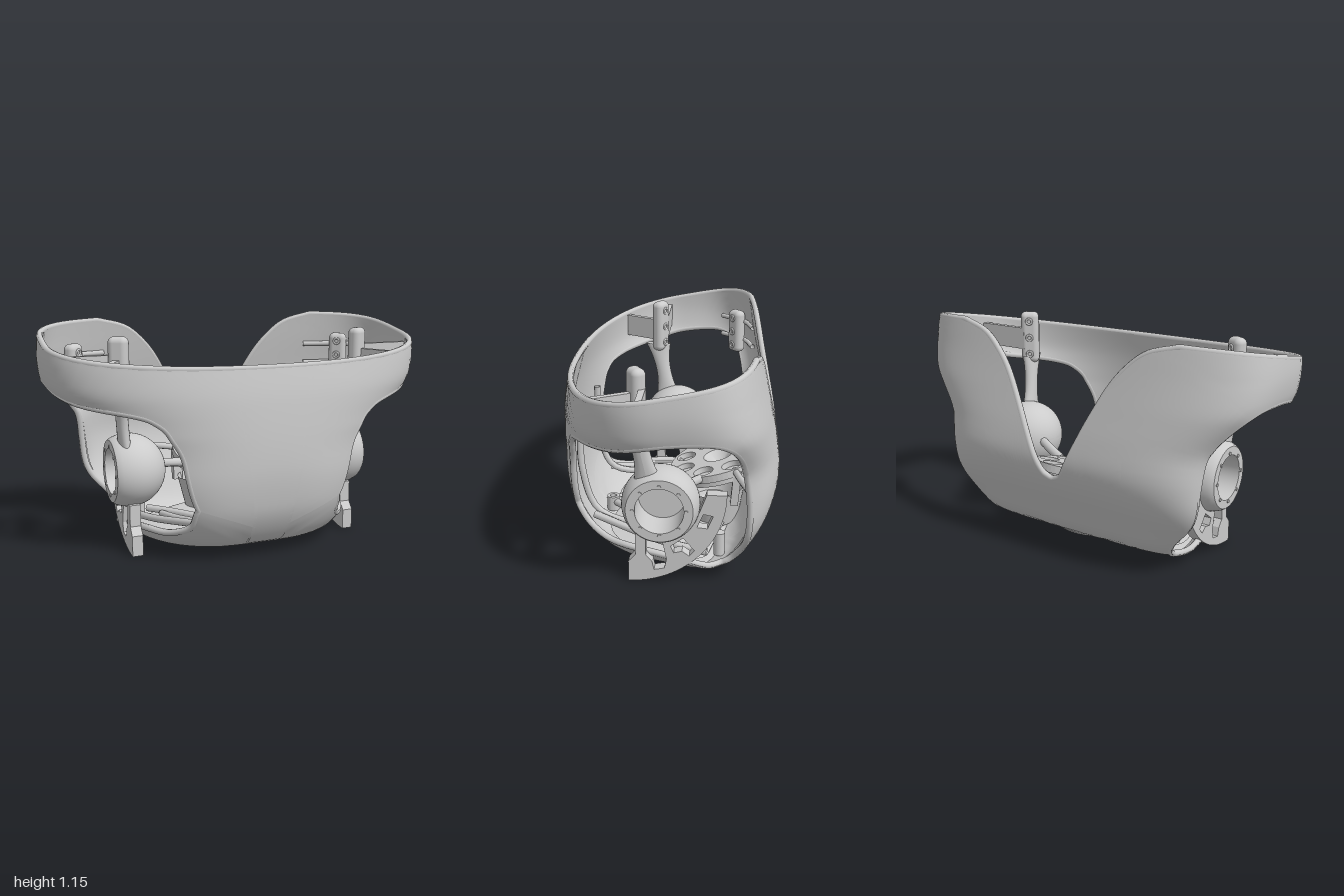
import * as THREE from 'three';
import { toCreasedNormals } from 'three/addons/utils/BufferGeometryUtils.js';
import { RoundedBoxGeometry } from 'three/addons/geometries/RoundedBoxGeometry.js';

const V = (x, y, z) => new THREE.Vector3(x, y, z);
const mat = new THREE.MeshStandardMaterial({ color: 0xcccccc, side: THREE.DoubleSide });
const WALL = 0.03;

// smooth function through [key, value] points
function table(p) {
  const slope = i => {
    const a = p[Math.max(i - 1, 0)], b = p[Math.min(i + 1, p.length - 1)];
    return (b[1] - a[1]) / (b[0] - a[0]);
  };
  return t => {
    if (t <= p[0][0]) return p[0][1];
    if (t >= p[p.length - 1][0]) return p[p.length - 1][1];
    const i = p.findIndex(q => q[0] > t) - 1, h = p[i + 1][0] - p[i][0], s = (t - p[i][0]) / h;
    const e = s * s * (3 - 2 * s);
    return p[i][1] * (1 - e) + p[i + 1][1] * e
      + h * s * (1 - s) * ((1 - s) * slope(i) - s * slope(i + 1));
  };
}

// horizontal sections of the shell by height: half width, narrowing to the front, depths, squareness
const halfWidth = table([[.045, .52], [.1, .575], [.2, .64], [.3, .69], [.5, .76], [.6, .8], [.7, .86], [.78, .925], [.84, .97], [.9, .99], [1, 1], [1.15, .99]]);
const taper = table([[.1, .5], [.3, .42], [.5, .18], [.65, 0]]);
const frontDepth = table([[.045, .31], [.065, .365], [.1, .415], [.2, .483], [.3, .52], [.5, .545], [.8, .53], [1, .495], [1.15, .46]]);
const backDepth = table([[.045, .25], [.1, .36], [.25, .45], [.4, .52], [.52, .548], [.65, .535], [.8, .505], [.95, .475], [1.15, .44]]);
const frontPower = table([[.05, 2.8], [.15, 3.2], [.3, 3.2], [.55, 2.4], [.8, 2.3], [1, 2.35]]);
const backPower = table([[.05, 5], [.3, 4.8], [.5, 4.3], [.75, 4.3], [1, 3.9]]);
const notch = table([[0, .43], [.06, .46], [.13, .59], [.2, .73], [.3, .91], [.38, 1.01], [.48, 1.09], [.62, 1.13], [.9, 1.2]]);

function section(al, y, d = 0) {
  const c = Math.cos(al), s = Math.sin(al), n = s > 0 ? frontPower(y) : backPower(y);
  const r = (Math.abs(c) ** n + Math.abs(s) ** n) ** (-1 / n);
  const z = ((s > 0 ? frontDepth(y) : backDepth(y)) - d) * r * s;
  return V((halfWidth(y) - d) * r * c * (1 - taper(y) * z), y, z);
}
const bottomAt = al => .048 + .025 * Math.max(0, Math.cos(Math.asin(Math.sin(al)) - .4)) ** 2;
function topAt(al) {
  let y = 1;
  for (let i = 0; i < 24; i++) {
    const p = section(al, y), rim = Math.min(1.058 - .182 * p.z, 1.138);
    y = .5 * y + .5 * (p.z < 0 ? Math.min(rim, notch(Math.abs(p.x))) : rim);
  }
  return y;
}
const shellPoint = (al, v, d) => section(al, bottomAt(al) + v * (topAt(al) - bottomAt(al)), d);

// grid surface from a point function
function sheet(fn, nu, nv) {
  const pos = [], idx = [];
  for (let j = 0; j <= nv; j++) for (let i = 0; i <= nu; i++) pos.push(...fn(i / nu, j / nv).toArray());
  for (let j = 0; j < nv; j++) for (let i = 0; i < nu; i++) {
    const a = j * (nu + 1) + i, b = a + nu + 1;
    idx.push(a, a + 1, b, b, a + 1, b + 1);
  }
  const g = new THREE.BufferGeometry();
  g.setAttribute('position', new THREE.Float32BufferAttribute(pos, 3));
  g.setIndex(idx);
  g.computeVertexNormals();
  return g;
}

export function createModel() {
  const model = new THREE.Group();
  const add = (name, geo, parent = model) => {
    const m = new THREE.Mesh(geo, mat);
    m.name = name;
    parent.add(m);
    return m;
  };
  const rod = (name, pts, r, parent, closed = false, n = 24) =>
    add(name, new THREE.TubeGeometry(new THREE.CatmullRomCurve3(pts, closed), n, r, 8, closed), parent);
  const beam = (name, a, b, w, h, parent) => {
    const m = add(name, new THREE.BoxGeometry(w, h, a.distanceTo(b)), parent);
    m.position.copy(a).lerp(b, .5);
    m.lookAt(b);
    return m;
  };
  const shell = new THREE.Group();
  shell.name = 'shell';
  model.add(shell);
  const walls = (name, fn, nu, nv) => [0, WALL].forEach(d => add(name, sheet((u, v) => fn(u, v, d), nu, nv), shell));

  // front and back panels, slightly overlapping the sides; the back one has a deep notch
  const F = 1.4, B = -1.13, LAP = .03;
  walls('frontPanel', (u, v, d) => shellPoint(F - LAP + u * (Math.PI - 2 * (F - LAP)), v, d), 10, 36);
  walls('backPanel', (u, v, d) => shellPoint(B + LAP - u * (Math.PI + 2 * (B + LAP)), v, d), 50, 30);

  // side windows, given as z and y around the opening
  const outline = new THREE.SplineCurve([[.47, .3], [.475, .45], [.465, .62], [.445, .72], [.39, .77], [.2, .81], [0, .858], [-.2, .872], [-.3, .845],
    [-.355, .78], [-.385, .68], [-.41, .5], [-.41, .35], [-.385, .2], [-.33, .11], [-.25, .078], [-.12, .11], [0, .13], [.17, .145], [.3, .15], [.41, .2], [.47, .3]]
    .map(p => new THREE.Vector2(...p)));
  const N = 120;
  const inner = outline.getPoints(N).map(({ x: z, y }) => {
    const n = z > 0 ? frontPower(y) : backPower(y);
    const q = Math.min(.99, Math.abs(z) / (z > 0 ? frontDepth(y) : backDepth(y)));
    const al = Math.sign(z) * Math.atan2(q, (1 - q ** n) ** (1 / n));
    return [al, (y - bottomAt(al)) / (topAt(al) - bottomAt(al))];
  });
  const c = [.15, .45];
  const outer = inner.map(([al, v]) => {
    const da = al - c[0], dv = v - c[1];
    const k = Math.min(da > 0 ? (F - c[0]) / da : (B - c[0]) / da, dv > 0 ? (1 - c[1]) / dv : -c[1] / dv);
    return [c[0] + da * k, c[1] + dv * k];
  });
  for (const q of [[F, 0], [F, 1], [B, 0], [B, 1]]) {
    const gap = p => Math.hypot(p[0] - q[0], p[1] - q[1]);
    const best = outer.reduce((m, p, i) => gap(p) < gap(outer[m]) ? i : m, 0);
    outer[best] = q;
  }
  for (const s of [1, -1]) {
    const turn = al => s > 0 ? al : Math.PI - al;
    walls('sidePanel', (u, t, d) => {
      const a = inner[Math.round(u * N)], b = outer[Math.round(u * N)];
      return shellPoint(turn(a[0] + (b[0] - a[0]) * t), a[1] + (b[1] - a[1]) * t, d);
    }, N, 14);
    rod('windowRim', inner.slice(0, N).map(p => shellPoint(turn(p[0]), p[1], WALL / 2)), .017, shell, true, 160);
  }
  rod('topRim', Array.from({ length: 200 }, (_, i) => shellPoint(i / 100 * Math.PI, 1, WALL / 2)), .016, shell, true, 300);

  // floor with an oval opening and a collar above it
  const oval = (al, y, k = 1) => V(.16 * k * Math.cos(al), y, -.22 + .11 * k * Math.sin(al));
  walls('floor', (u, t, d) => {
    const al = u * 2 * Math.PI, p = shellPoint(al, 0, d), y = p.y + (.085 - p.y) * Math.sin(t * Math.PI / 2) + d;
    return p.lerp(oval(al, 0), t).setY(y);
  }, 96, 10);
  rod('floorOpeningRim', Array.from({ length: 32 }, (_, i) => oval(i / 16 * Math.PI, .095, 1.03)), .022, shell, true, 64);
  add('collar', sheet((u, t) => oval(u * 2 * Math.PI, .09 + .19 * t, 1.25 + .3 * t), 48, 4), shell);

  // tilted mounting plate with eight holes and a funnel in the middle
  const mount = new THREE.Group();
  mount.name = 'mountingPlate';
  mount.position.set(0, .42, -.24);
  mount.rotation.x = .27;
  model.add(mount);
  const disc = new THREE.Shape().absarc(0, 0, .262, 0, 2 * Math.PI);
  const hole = (x, y, r) => disc.holes.push(new THREE.Path().absarc(x, y, r, 0, 2 * Math.PI, true));
  hole(0, 0, .08);
  for (let i = 0; i < 8; i++) {
    const a = (i + .5) * Math.PI / 4;
    hole(.195 * Math.cos(a), .195 * Math.sin(a), .052);
  }
  add('plate', new THREE.ExtrudeGeometry(disc, { depth: .04, bevelEnabled: false, curveSegments: 32 }).rotateX(-Math.PI / 2).translate(0, -.04, 0), mount);
  const lathe = (pts, n = 48) => toCreasedNormals(new THREE.LatheGeometry(pts.map(p => new THREE.Vector2(...p)), n), .5);
  add('plateBase', lathe([[.015, -.06], [.08, 0], [.08, -.03], [.255, -.03], [.255, -.065], [.1, -.09], [.015, -.09], [.015, -.06]]), mount);

  // floor hub
  add('hub', lathe([[.018, .08], [.018, .16], [.035, .16], [.035, .08]], 24)).position.z = .33;

  // everything that exists on both sides
  for (const s of [1, -1]) {
    const side = new THREE.Group();
    side.name = s > 0 ? 'leftHip' : 'rightHip';
    model.add(side);
    const P = (x, y, z) => V(s * x, y, z);

    // ball housing with a flat outer face and a bore
    const prof = [];
    for (let i = 0; i <= 20; i++) {
      const a = -Math.PI / 2 + i / 20 * (Math.PI / 2 + .47);
      prof.push([Math.max(0, .187 * Math.cos(a)), .187 * Math.sin(a)]);
    }
    prof.push([.158, .095], [.115, .095], [.115, -.07], [0, -.07]);
    const ball = add('ballHousing', lathe(prof, 56), side);
    ball.position.copy(P(.59, .415, .018));
    ball.rotation.z = -s * Math.PI / 2;
    for (let i = 0; i < 8; i++) {
      const a = i * Math.PI / 4;
      const bolt = add('bolt', new THREE.CylinderGeometry(.009, .009, .008, 12), side);
      bolt.rotation.z = Math.PI / 2;
      bolt.position.copy(P(.686, .415 + .126 * Math.sin(a), .018 + .126 * Math.cos(a)));
    }

    // quadrant blade, drawn with z across and y up, its upper inside edge following the ball
    const blade = new THREE.Shape();
    blade.moveTo(.175, .005);
    blade.lineTo(.175, .11).lineTo(.14, .15).lineTo(.14, .26).lineTo(-.08, .285).lineTo(-.165, .38).lineTo(-.2, .475).lineTo(-.295, .475);
    blade.absarc(.175, .475, .47, Math.PI, Math.PI * 1.5, false);
    for (const h of [[[.09, .24], [.01, .225], [-.01, .13], [.0, .08], [.05, .07], [.06, .115], [.09, .15]],
      [[-.03, .2], [-.09, .245], [-.145, .18], [-.12, .15], [-.085, .175], [-.045, .165]],
      [[-.155, .305], [-.185, .375], [-.232, .365], [-.205, .3]]])
      blade.holes.push(new THREE.Path(h.map(q => new THREE.Vector2(...q))));
    const bg = new THREE.ExtrudeGeometry(blade, { depth: .055, bevelEnabled: false, curveSegments: 32 });
    bg.rotateY(-Math.PI / 2).translate(s * .5925 + .0275, 0, 0);
    add('quadrantBlade', bg, side);

    // arm from the ball up to the upper bracket
    add('arm', sheet((u, v) => {
      const a = u * 2 * Math.PI, w = .042 + .03 * (2 * v - 1) ** 2;
      return P(.62 + .035 * v + .03 * Math.cos(a), .53 + .32 * v, .07 + .065 * v + w * Math.sin(a));
    }, 20, 12), side);

    // brackets with bolts, and the ribs that tie them to the band
    const bracket = (x, y, z, h, ang) => {
      const g = new THREE.Group();
      g.name = 'bracket';
      g.position.copy(P(x, y, z));
      g.rotation.y = s * ang;
      side.add(g);
      add('bracketBody', new RoundedBoxGeometry(.1, h, .07, 4, .03), g);
      for (const k of [-1, 0, 1]) {
        const b = add('bracketBolt', new THREE.TorusGeometry(.016, .006, 8, 16), g);
        b.position.set(0, k * h * .32, z > 0 ? -.035 : .035);
      }
    };
    bracket(.65, .955, .12, .29, .55);
    bracket(.78, .9, -.325, .25, -.7);
    beam('bandRib', P(.66, .95, .09), P(.965, .95, .09), .03, .12, side);
    beam('bandRib', P(.66, .93, .13), P(.765, .93, .32), .03, .12, side);
    for (const y of [.85, .96]) rod('bracketRib', [P(.6, y, -.42), P(.78, y, -.365), P(.91, y, -.24)], .014, side);

    // posts and braces around the mounting plate
    rod('plateBrace', [P(.44, .42, -.05), P(.34, .4, -.1), P(.23, .38, -.15)], .024, side);
    rod('backRib', [P(.2, .42, -.33), P(.36, .44, -.36), P(.54, .45, -.41)], .018, side);
    beam('post', P(.22, .24, -.33), P(.22, .43, -.345), .05, .04, side);
    add('boss', new THREE.CylinderGeometry(.028, .028, .12, 20), side).position.copy(P(.46, .14, -.26));

    // raised ribs on the floor and up the front wall
    rod('floorRib', [P(.01, .13, .32), P(.16, .14, .18), P(.34, .15, -.02), P(.45, .15, -.14)], .02, side);
    rod('centreRib', [P(0, .13, .3), P(0, .15, .14), P(.06, .2, .05), P(.12, .34, -.04)], .02, side);
    rod('frontRib', [P(.27, .7, .445), P(.28, .45, .445), P(.28, .22, .37), P(.34, .16, .15), P(.4, .14, -.05)], .018, side);
    rod('sideRib', [P(.31, .2, .38), P(.39, .17, .2), P(.47, .14, 0), P(.52, .12, -.2)], .02, side);
  }
  return model;
}
